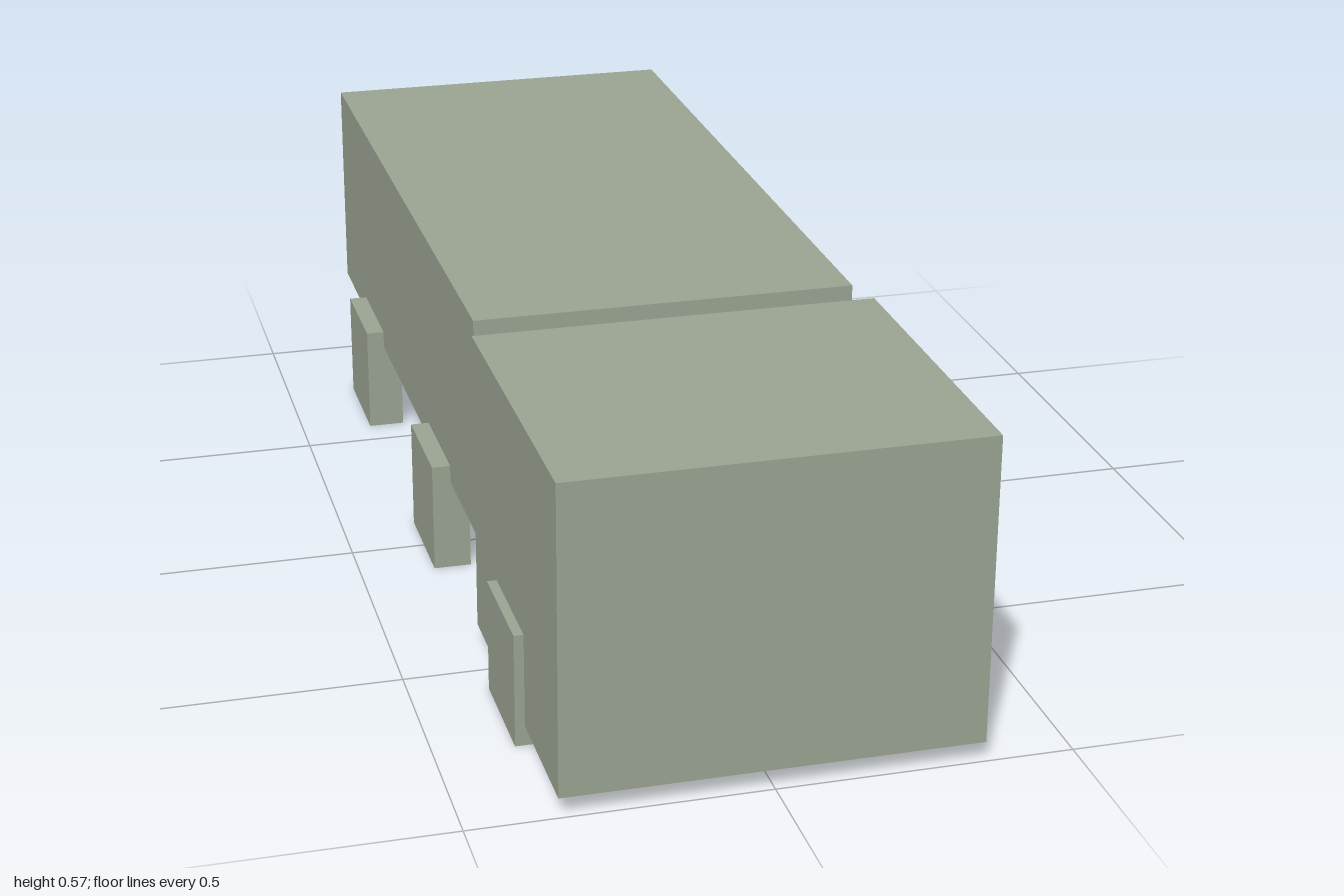
import * as THREE from 'three';

export function createModel() {
  const model = new THREE.Group();
  model.name = 'truck';

  const greyGreen = new THREE.MeshStandardMaterial({ color: 0x9aa392 });
  greyGreen.name = 'greyGreen';

  // Box given by its size, base height and centre
  function addBox(name, [w, h, d], x, base, z) {
    const mesh = new THREE.Mesh(new THREE.BoxGeometry(w, h, d), greyGreen);
    mesh.name = name;
    mesh.position.set(x, base + h / 2, z);
    model.add(mesh);
  }

  // Cab in front, cargo box behind with a gap between
  addBox('cab', [0.7, 0.533, 0.6], 0, 0.035, 0.7);
  addBox('cargoBox', [0.667, 0.4, 1.333], 0, 0.168, -0.333);

  // Three pairs of square wheels
  const axles = { front: 0.667, middle: 0, rear: -0.667 };
  for (const [axle, z] of Object.entries(axles)) {
    for (const side of [1, -1]) {
      const name = axle + (side > 0 ? 'Left' : 'Right') + 'Wheel';
      addBox(name, [0.067, 0.2, 0.2], side * 0.333, 0, z);
    }
  }

  return model;
}
